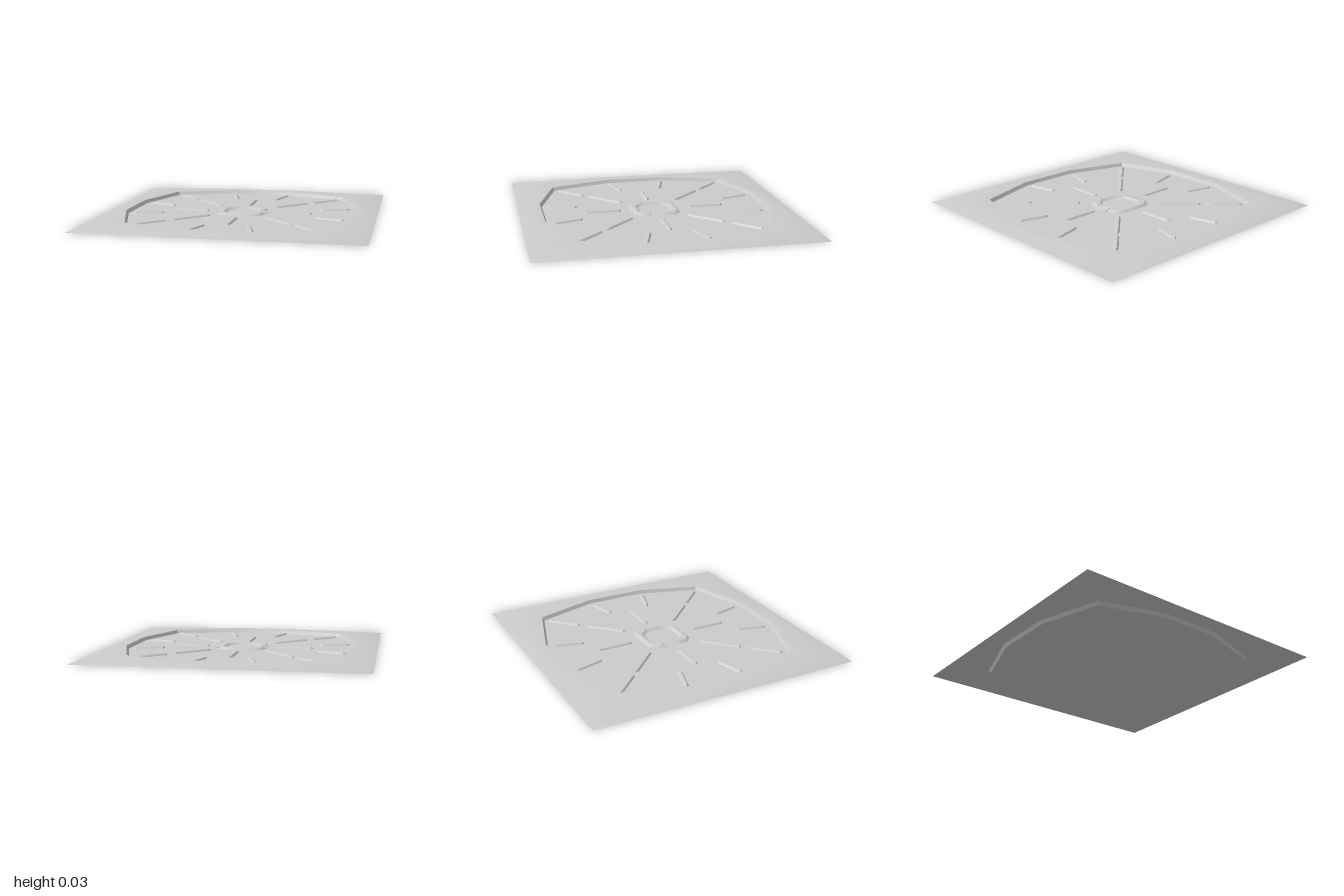
import * as THREE from 'three';
import { toCreasedNormals } from 'three/addons/utils/BufferGeometryUtils.js';

const material = new THREE.MeshStandardMaterial({ color: 0xcccccc, side: THREE.DoubleSide });

// Skin a list of closed loops (outermost first); a loop is { y, pts: [[x, z], ...] }
function loft(loops) {
  const position = [];
  const corner = (loop, i) => {
    const [x, z] = loop.pts[i % loop.pts.length];
    return new THREE.Vector3(x, loop.y, z);
  };
  const addTriangle = (a, b, c) => {
    if (new THREE.Triangle(a, b, c).getArea() < 1e-8) return;
    for (const p of [a, b, c]) position.push(p.x, p.y, p.z);
  };
  for (let k = 0; k + 1 < loops.length; k++) {
    for (let i = 0; i < loops[k].pts.length; i++) {
      const a0 = corner(loops[k], i), a1 = corner(loops[k], i + 1);
      const b0 = corner(loops[k + 1], i), b1 = corner(loops[k + 1], i + 1);
      addTriangle(a0, b0, a1);
      addTriangle(a1, b0, b1);
    }
  }
  const geometry = new THREE.BufferGeometry();
  geometry.setAttribute('position', new THREE.Float32BufferAttribute(position, 3));
  return toCreasedNormals(geometry, 0.5);
}

// Mirror the points of one quarter (running from +x to +z) into a full outline
function fourWay(quarter) {
  const half = [...quarter, ...quarter.map(([x, z]) => [-x, z]).reverse()];
  return [...half, ...half.map(([x, z]) => [x, -z]).reverse()];
}

function addMesh(group, name, geometry) {
  const mesh = new THREE.Mesh(geometry, material);
  mesh.name = name;
  group.add(mesh);
  return mesh;
}

// Long low bar with pointed ends and bevelled sides
function barGeometry(length, halfWidth, height) {
  const outline = (inset) => {
    const end = length / 2 - inset, w = halfWidth - inset;
    return fourWay([[end, 0], [end - w, w]]);
  };
  return loft([
    { y: 0, pts: outline(0) },
    { y: height, pts: outline(0.011) },
    { y: height, pts: outline(0.011).map(([x]) => [x, 0]) },
  ]);
}

export function createModel() {
  const model = new THREE.Group();
  model.name = 'groundPlate';
  const rimY = 0.025;
  const ring = (s) => fourWay([[0.835 * s, 0.232 * s], [0.69 * s, 0.69 * s], [0.232 * s, 0.835 * s]]);

  // Sloping square apron up to a level twelve-sided rim
  addMesh(model, 'apron', loft([
    { y: 0, pts: fourWay([[1, 1], [1, 1], [1, 1]]) },
    { y: rimY, pts: ring(1.11) },
    { y: rimY, pts: ring(1) },
  ]));

  // Sunken floor with its sloping wall
  addMesh(model, 'sunkenFloor', loft([
    { y: rimY, pts: ring(1) },
    { y: 0, pts: ring(0.982) },
    { y: 0, pts: ring(0) },
  ]));

  // Raised central frame, notched on both sides, with an eight-sided opening
  const frameY = 0.015;
  addMesh(model, 'centreFrame', loft([
    { y: 0, pts: fourWay([[0.145, 0.055], [0.175, 0.055], [0.175, 0.12], [0.12, 0.175]]) },
    { y: frameY, pts: fourWay([[0.14, 0.065], [0.155, 0.065], [0.155, 0.11], [0.11, 0.155]]) },
    { y: frameY, pts: fourWay([[0.134, 0.055], [0.134, 0.06], [0.134, 0.07], [0.07, 0.134]]) },
    { y: 0, pts: fourWay([[0.112, 0.05], [0.112, 0.052], [0.112, 0.06], [0.06, 0.112]]) },
  ]));

  // Small ramps filling the notches
  const wedge = new THREE.Shape([[0.14, 0], [0.2, 0], [0.14, frameY]].map(([x, y]) => new THREE.Vector2(x, y)));
  const rampGeometry = new THREE.ExtrudeGeometry(wedge, { depth: 0.11, bevelEnabled: false });
  rampGeometry.translate(0, 0, -0.055);
  for (const turn of [0, Math.PI]) addMesh(model, 'frameRamp', rampGeometry).rotation.y = turn;

  // Radiating bars: inner and outer radius, and angles within each quarter turn
  const barSets = [
    { name: 'innerBar', from: 0.25, to: 0.53, angles: [0] },
    { name: 'diagonalBar', from: 0.285, to: 0.615, angles: [45] },
    { name: 'outerDiagonalBar', from: 0.655, to: 0.92, angles: [45] },
    { name: 'outerBar', from: 0.58, to: 0.815, angles: [15.7, 74.3] },
  ];
  for (const { name, from, to, angles } of barSets) {
    const geometry = barGeometry(to - from, 0.019, 0.012);
    geometry.translate((from + to) / 2, 0, 0);
    for (let quarter = 0; quarter < 4; quarter++) {
      for (const angle of angles) {
        addMesh(model, name, geometry).rotation.y = -THREE.MathUtils.degToRad(angle + 90 * quarter);
      }
    }
  }
  return model;
}
